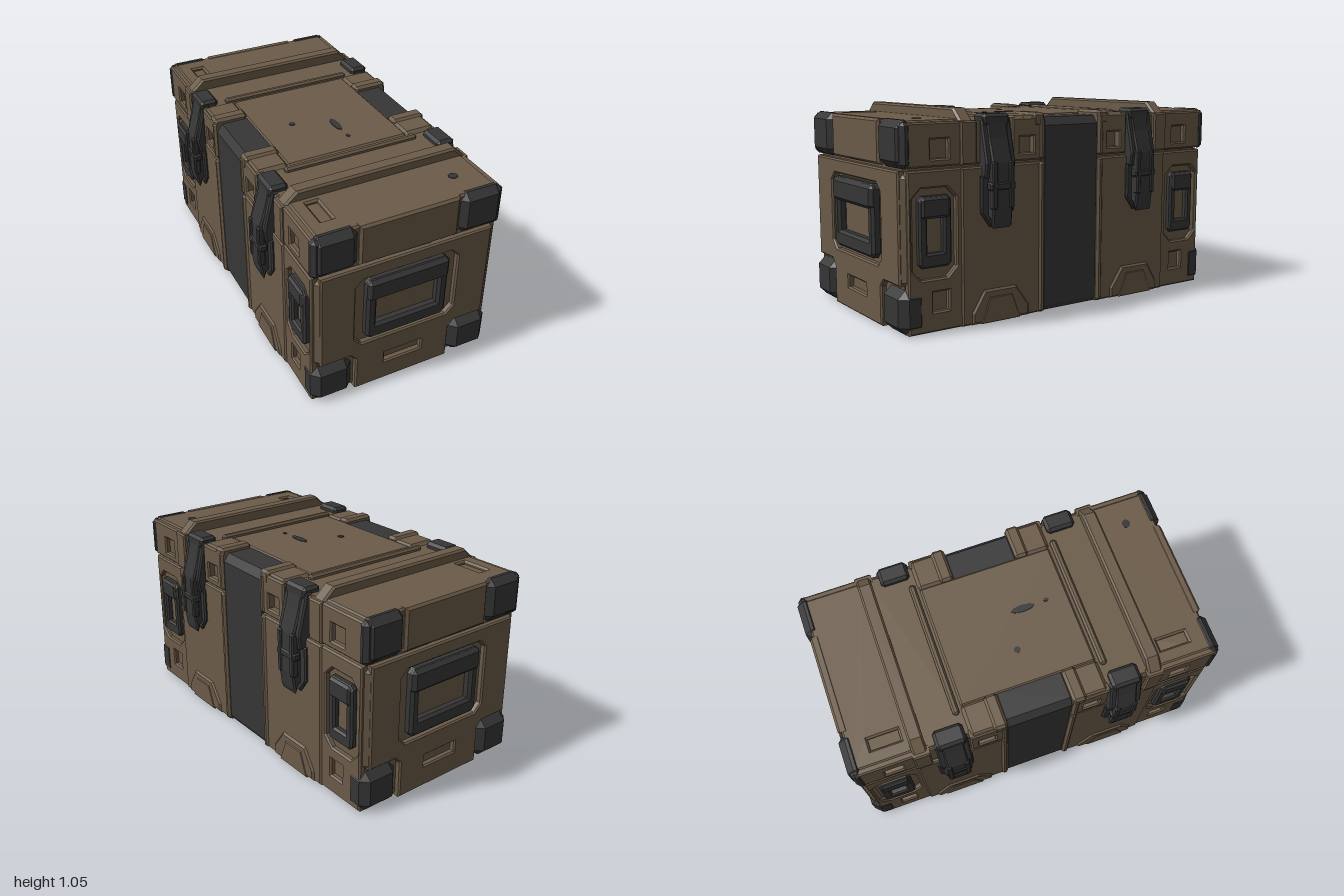
import * as THREE from 'three';
import { ConvexGeometry } from 'three/addons/geometries/ConvexGeometry.js';

export function createModel() {
  const model = new THREE.Group();
  model.name = 'storageCase';
  const shell = new THREE.MeshStandardMaterial({ color: 0x6b5b48 });
  shell.name = 'brownShell';
  const rubber = new THREE.MeshStandardMaterial({ color: 0x363637 });
  rubber.name = 'darkRubber';

  // Mirrored copy with corrected winding and flat normals
  function mirrored(geo, sx, sz) {
    const g = geo.index ? geo.toNonIndexed() : geo.clone();
    g.scale(sx, 1, sz);
    if (sx * sz < 0) {
      const p = g.attributes.position;
      const a = new THREE.Vector3(), b = new THREE.Vector3();
      for (let i = 0; i < p.count; i += 3) {
        a.fromBufferAttribute(p, i + 1);
        b.fromBufferAttribute(p, i + 2);
        p.setXYZ(i + 1, b.x, b.y, b.z);
        p.setXYZ(i + 2, a.x, a.y, a.z);
      }
    }
    g.computeVertexNormals();
    return g;
  }

  // Adds a part, repeated across x and/or z as asked ('', 'x', 'z', 'xz')
  function add(name, geo, mat, mirror = '') {
    for (const sx of mirror.includes('x') ? [1, -1] : [1]) {
      for (const sz of mirror.includes('z') ? [1, -1] : [1]) {
        const mesh = new THREE.Mesh(mirrored(geo, sx, sz), mat);
        mesh.name = name;
        model.add(mesh);
      }
    }
  }

  // Box between two corners with all edges chamfered
  function block(x0, x1, y0, y1, z0, z1, c = 0.01) {
    const h = [(x1 - x0) / 2, (y1 - y0) / 2, (z1 - z0) / 2];
    const pts = [];
    for (const i of [-1, 1]) for (const j of [-1, 1]) for (const k of [-1, 1]) {
      for (let full = 0; full < 3; full++) {
        const v = [i, j, k].map((s, n) => s * (h[n] - (n === full ? 0 : c)));
        pts.push(new THREE.Vector3(...v));
      }
    }
    return new ConvexGeometry(pts).translate((x0 + x1) / 2, (y0 + y1) / 2, (z0 + z1) / 2);
  }

  const rect = (u0, u1, v0, v1) => [[u0, v0], [u1, v0], [u1, v1], [u0, v1]];
  const octagon = (u0, u1, v0, v1, c) => [
    [u0 + c, v0], [u1 - c, v0], [u1, v0 + c], [u1, v1 - c],
    [u1 - c, v1], [u0 + c, v1], [u0, v1 - c], [u0, v0 + c]];
  const vec = (pts) => pts.map(([u, v]) => new THREE.Vector2(u, v));

  // Bevelled plate with holes, from depth w0 to w1
  function plate(pts, holes, w0, w1, b = 0.008) {
    const shape = new THREE.Shape(vec(pts));
    for (const h of holes) shape.holes.push(new THREE.Path(vec(h)));
    return new THREE.ExtrudeGeometry(shape, {
      depth: w1 - w0 - 2 * b, bevelEnabled: true, bevelSegments: 1,
      bevelSize: b, bevelOffset: -b, bevelThickness: b,
    }).translate(0, 0, w0 + b);
  }
  // Plates facing sideways take (z, y); plates facing up take (x, z)
  const sidePlate = (...a) => plate(...a).rotateY(Math.PI / 2);
  const topPlate = (...a) => plate(...a).rotateX(-Math.PI / 2);

  // Inner box
  add('core', block(-0.475, 0.475, 0, 0.985, -0.945, 0.945, 0.02), shell);

  // Lower side panels
  add('sideEndPanel', sidePlate(rect(0.65, 0.945, 0.002, 0.775),
    [octagon(0.685, 0.925, 0.26, 0.69, 0.05), rect(0.73, 0.815, 0.1, 0.195)], 0.46, 0.502), shell, 'xz');
  add('sideMidPanel', sidePlate(rect(0.17, 0.66, 0.002, 0.775), [], 0.46, 0.51), shell, 'xz');
  add('sideFoot', sidePlate([[0.27, 0.002], [0.61, 0.002], [0.61, 0.06], [0.54, 0.17], [0.35, 0.17], [0.27, 0.06]],
    [], 0.46, 0.52, 0.012), shell, 'xz');
  add('footPad', sidePlate([[0.33, 0.002], [0.56, 0.002], [0.51, 0.13], [0.38, 0.13]], [], 0.48, 0.524, 0.004), shell, 'xz');

  // Lid side panels
  add('lidSideEnd', sidePlate(rect(0.64, 0.945, 0.787, 0.995), [rect(0.725, 0.82, 0.825, 0.915)], 0.46, 0.502), shell, 'xz');
  add('lidSideBlock', sidePlate(rect(0.18, 0.37, 0.787, 1.0), [rect(0.24, 0.325, 0.825, 0.905)], 0.46, 0.513), shell, 'xz');
  add('lidLatchChannel', sidePlate(rect(0.36, 0.59, 0.787, 0.99), [], 0.46, 0.495), shell, 'xz');
  add('lidSideRib', sidePlate(rect(0.575, 0.665, 0.787, 0.995), [], 0.46, 0.515), shell, 'xz');
  for (const [y0, y1] of [[0.002, 0.775], [0.787, 1.0]]) {
    add('strapEdgeRib', block(0.46, 0.52, y0, y1, 0.172, 0.21, 0.012), shell, 'xz');
  }

  // End panels with handle recess and slots
  add('endPanel', plate([[-0.27, 0.002], [0.27, 0.002], [0.27, 0.2], [0.3, 0.235], [0.465, 0.235], [0.465, 0.775],
    [-0.465, 0.775], [-0.465, 0.235], [-0.3, 0.235], [-0.27, 0.2]],
    [octagon(-0.28, 0.28, 0.3, 0.7, 0.04), rect(-0.105, 0.105, 0.12, 0.18)], 0.92, 0.975), shell, 'z');
  add('endCorner', block(0.42, 0.495, 0.225, 0.77, 0.9, 0.965, 0.03), shell, 'xz');
  add('lidEndPanel', plate(rect(-0.265, 0.265, 0.787, 1.005),
    [[[-0.1, 0.805], [0.105, 0.805], [0.105, 0.86], [-0.05, 0.86]]], 0.92, 0.972, 0.012), shell, 'z');
  add('lidEndBand', block(-0.47, 0.47, 0.787, 0.995, 0.9, 0.955, 0.02), shell, 'z');

  // Lid top
  add('topEndPanel', topPlate(rect(-0.475, 0.475, 0.64, 0.955), [rect(-0.4, -0.34, 0.69, 0.845)], 0.96, 1.003, 0.01), shell, 'z');
  add('topRidge', plate([[-0.505, 0.95], [0.505, 0.95], [0.505, 0.985], [0.43, 1.053], [-0.43, 1.053], [-0.505, 0.985]],
    [], 0.585, 0.66, 0.01), shell, 'z');
  add('topLatchChannel', topPlate(rect(-0.485, 0.485, 0.35, 0.6), [], 0.95, 0.993), shell, 'z');
  add('topRail', block(-0.37, 0.37, 0.97, 1.015, 0.375, 0.41), shell, 'z');
  add('topCentrePanel', block(-0.34, 0.34, 0.95, 1.003, -0.362, 0.362, 0.012), shell);
  add('topShoulder', block(0.33, 0.508, 0.95, 1.01, 0.19, 0.365, 0.018), shell, 'xz');
  add('topStrapRib', block(0.33, 0.515, 0.95, 1.022, 0.172, 0.245, 0.014), shell, 'xz');

  // Dark bands wrapping each side
  add('sideStrap', plate([[0.33, 0.95], [0.46, 0.002], [0.49, 0.002], [0.506, 0.03], [0.506, 0.955], [0.475, 0.996], [0.33, 0.996]],
    [], -0.173, 0.173, 0.004), rubber, 'x');

  // Corner guards
  add('lowerCornerGuard', block(0.285, 0.506, 0.002, 0.218, 0.845, 0.986, 0.04), rubber, 'xz');
  add('upperCornerGuard', block(0.27, 0.504, 0.785, 1.008, 0.9, 0.986, 0.035), rubber, 'xz');
  add('cornerGuardWrap', block(0.42, 0.508, 0.785, 1.0, 0.92, 0.975, 0.02), rubber, 'xz');

  // End handles
  add('endHandleFrame', plate(octagon(-0.225, 0.225, 0.325, 0.69, 0.025),
    [rect(-0.17, 0.17, 0.41, 0.565)], 0.935, 0.99, 0.014), rubber, 'z');
  add('endHandleGrip', block(-0.225, 0.225, 0.565, 0.685, 0.95, 1.0, 0.018), rubber, 'z');

  // Small side handles
  add('sideHandleFrame', sidePlate(octagon(0.715, 0.89, 0.315, 0.655, 0.02),
    [rect(0.76, 0.845, 0.385, 0.55)], 0.47, 0.51, 0.01), rubber, 'xz');
  add('sideHandleGrip', block(0.48, 0.52, 0.55, 0.65, 0.725, 0.88, 0.012), rubber, 'xz');

  // Latches
  add('latchLever', plate([[0.47, 0.98], [0.47, 0.56], [0.535, 0.52], [0.55, 0.475], [0.56, 0.5], [0.57, 0.58],
    [0.566, 0.79], [0.53, 0.91], [0.51, 1.0]], [], 0.405, 0.52, 0.008), rubber, 'xz');
  add('latchHook', block(0.415, 0.515, 0.96, 1.025, 0.385, 0.54, 0.015), rubber, 'xz');
  add('latchPlate', plate([[0.47, 1.0], [0.47, 0.72], [0.54, 0.72], [0.553, 0.79], [0.515, 0.95], [0.505, 1.0]],
    [], 0.378, 0.548, 0.008), rubber, 'xz');
  add('latchBase', sidePlate([[0.42, 0.48], [0.51, 0.48], [0.56, 0.55], [0.56, 0.73], [0.37, 0.73], [0.37, 0.55]],
    [], 0.48, 0.525, 0.008), rubber, 'xz');
  for (const z of [0.415, 0.51]) {
    add('latchArm', block(0.54, 0.575, 0.57, 0.8, z - 0.015, z + 0.015, 0.006), rubber, 'xz');
  }
  add('latchPin', block(0.53, 0.574, 0.66, 0.7, 0.39, 0.535, 0.008), rubber, 'xz');

  // Small dark marks on the lid
  for (const [x, z, w, d] of [[0.055, 0.11, 0.04, 0.13], [0.06, 0.24, 0.02, 0.03], [-0.15, 0.005, 0.035, 0.035], [0.33, 0.8, 0.05, 0.045]]) {
    const mark = new THREE.CylinderGeometry(0.5, 0.5, 0.005, 8).scale(w, 1, d).translate(x, 1.004, z);
    add('lidMark', mark, rubber);
  }
  return model;
}
